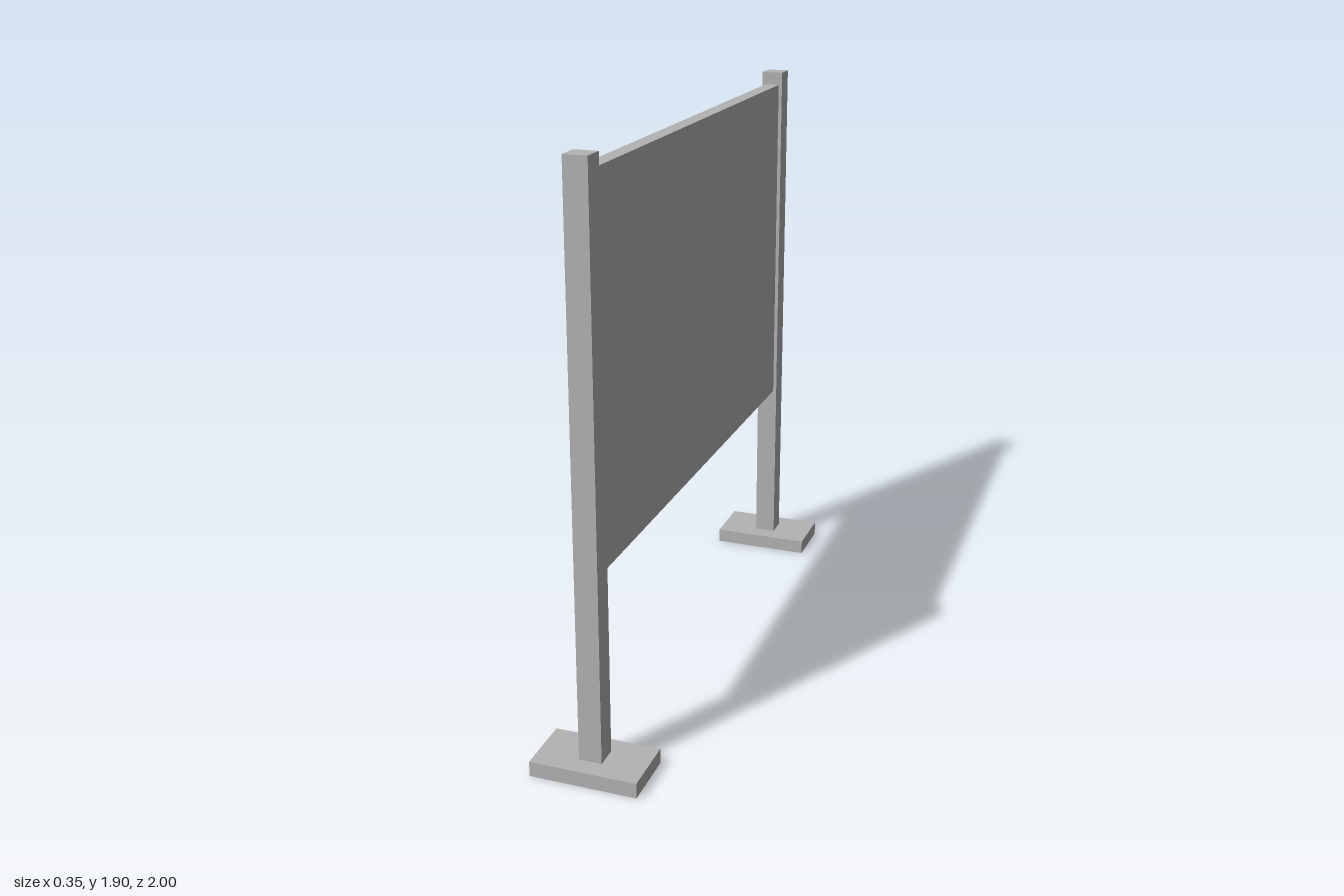
import * as THREE from 'three';

export function createModel() {
  const group = new THREE.Group();
  group.name = 'noticeBoard';
  const grey = new THREE.MeshStandardMaterial({ color: 0xb3b3b3 });
  grey.name = 'plain grey';

  // Box given by its extents along x, y and z
  function box(name, [x0, x1], [y0, y1], [z0, z1]) {
    const mesh = new THREE.Mesh(new THREE.BoxGeometry(x1 - x0, y1 - y0, z1 - z0), grey);
    mesh.position.set((x0 + x1) / 2, (y0 + y1) / 2, (z0 + z1) / 2);
    mesh.name = name;
    group.add(mesh);
  }

  // Feet and posts at both ends
  for (const [end, s] of [['front', 1], ['back', -1]]) {
    const span = (a, b) => (s > 0 ? [a, b] : [-b, -a]);
    box(end + 'Foot', [-0.175, 0.175], [0, 0.05], span(0.8, 1));
    box(end + 'Post', [-0.0375, 0.0375], [0.05, 1.9], span(0.8625, 0.9375));
  }

  // Board with a raised header strip
  box('board', [-0.025, 0.025], [0.655, 1.855], [-0.8625, 0.8625]);
  box('headerStrip', [-0.035, -0.025], [1.575, 1.825], [-0.8625, 0.8625]);

  // Three notices, each with a clip at its top edge
  for (const z of [-0.375, 0, 0.372]) {
    box('notice', [-0.052, -0.025], [0.753, 1.203], [z - 0.15, z + 0.15]);
    box('clip', [-0.067, -0.052], [1.2, 1.238], [z - 0.025, z + 0.025]);
  }
  return group;
}
